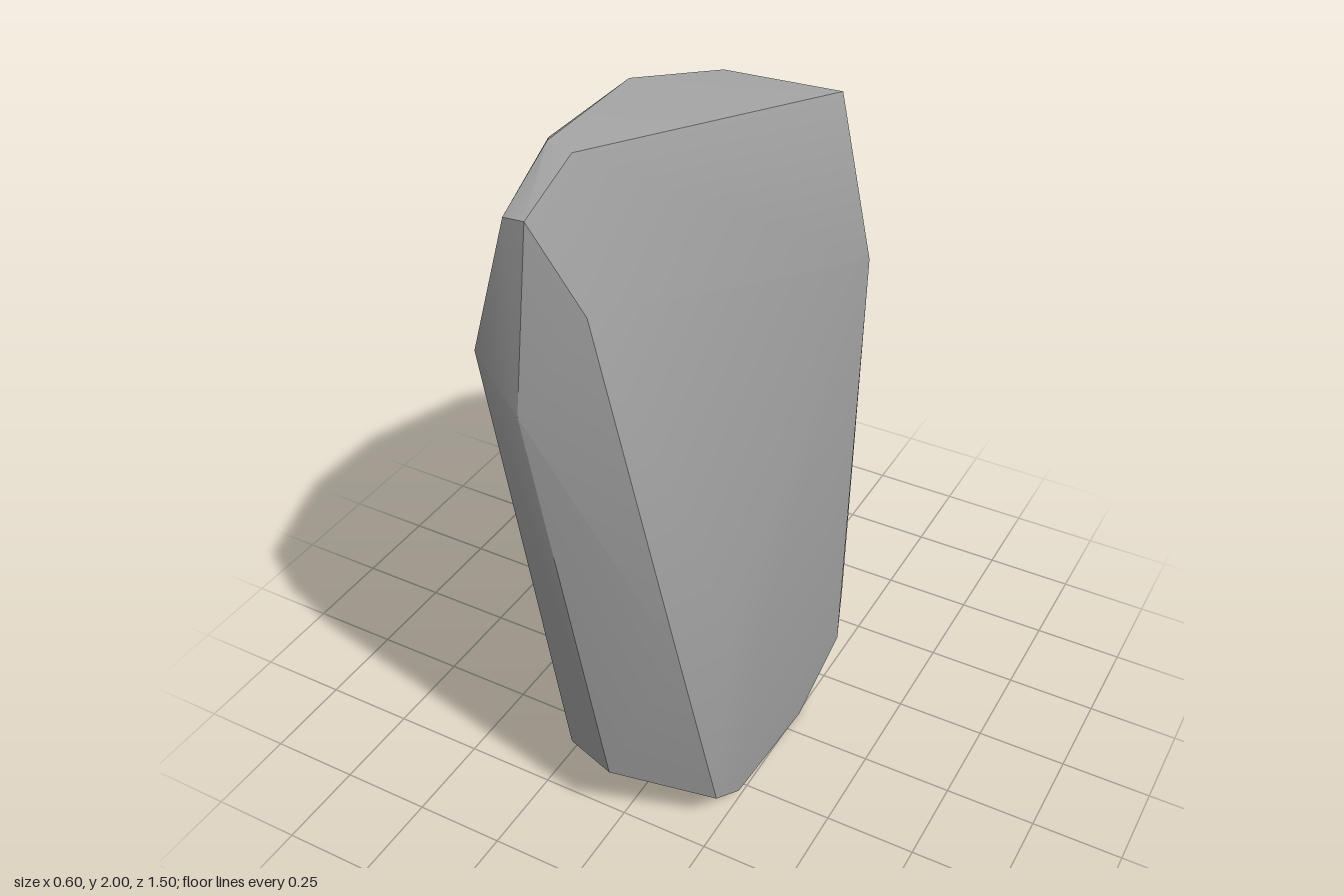
import * as THREE from 'three';
import { ConvexGeometry } from 'three/addons/geometries/ConvexGeometry.js';
import { toCreasedNormals } from 'three/addons/utils/BufferGeometryUtils.js';

// Corners of the boulder, grouped by region as [x, y, z]
const crest = [
  [0, 1.64, -0.75], [-0.16, 1.82, -0.36], [-0.19, 1.95, 0.05],
  [-0.12, 2.0, 0.5], [-0.06, 1.985, 0.5], [-0.03, 1.94, 0.73], [-0.09, 1.93, 0.72],
];
const frontFace = [
  [-0.2, 1.57, 0.71], [-0.07, 1.46, 0.75], [0.07, 1.71, 0.67],
  [0.22, 0.73, 0.57], [0, 0.22, 0.565],
];
const leftSide = [
  [0.29, 0.74, 0.42], [0.295, 0.6, 0.28], [0.26, 0.65, -0.18],
  [0.19, 1.27, -0.55],
];
const rightSide = [
  [-0.22, 1.92, 0.35], [-0.3, 1.41, 0.22], [-0.27, 1.4, 0.39],
  [-0.25, 1.45, -0.18], [-0.13, 1.35, -0.58],
];
const backFace = [
  [0.07, 1.18, -0.68], [0.16, 0.64, -0.56], [0.23, 0.23, -0.4],
];
const base = [
  [0.255, 0, -0.07], [-0.2, 0.005, -0.07], [0.26, 0.05, 0.32], [-0.2, 0.05, 0.32],
  [0.25, 0.12, 0.43], [-0.215, 0.1, 0.42], [0.265, 0.12, -0.3], [-0.2, 0.11, -0.3],
];

export function createModel() {
  const group = new THREE.Group();
  group.name = 'rock';
  const stone = new THREE.MeshStandardMaterial({ color: 0xa0a0a0 });
  stone.name = 'grey stone';

  // Wrap the corners in one solid, softening the shallow facets
  const corners = [crest, frontFace, leftSide, rightSide, backFace, base]
    .flat().map((p) => new THREE.Vector3(...p));
  const geometry = toCreasedNormals(new ConvexGeometry(corners), 0.6);

  const boulder = new THREE.Mesh(geometry, stone);
  boulder.name = 'boulder';
  group.add(boulder);
  return group;
}
